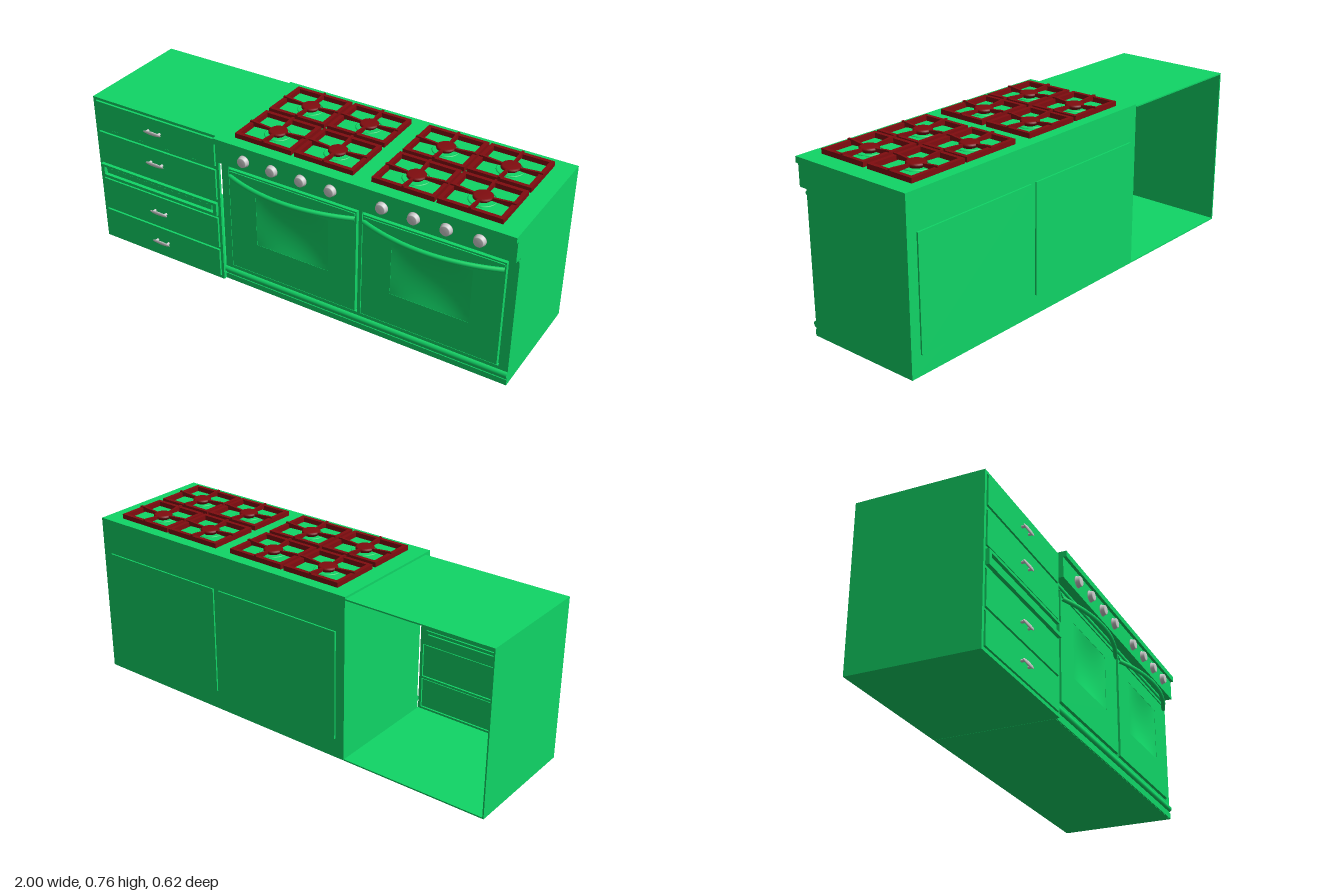
import * as THREE from 'three';

const green = new THREE.MeshStandardMaterial({ color: 0x10d566, side: THREE.DoubleSide });
const red = new THREE.MeshStandardMaterial({ color: 0x800c0f });
const grey = new THREE.MeshStandardMaterial({ color: 0xcccccc });

function add(parent, name, geometry, material = green) {
  const mesh = new THREE.Mesh(geometry, material);
  mesh.name = name;
  parent.add(mesh);
  return mesh;
}

// Box given by its limits on each axis
function block(parent, name, x0, x1, y0, y1, z0, z1, material = green) {
  const mesh = add(parent, name, new THREE.BoxGeometry(x1 - x0, y1 - y0, z1 - z0), material);
  mesh.position.set((x0 + x1) / 2, (y0 + y1) / 2, (z0 + z1) / 2);
  return mesh;
}

// Flat panel with rectangular holes, each given as [x0, x1, y0, y1]
function panel(parent, name, outer, holes, z0, z1) {
  const corners = ([a, b, c, d]) => [[a, c], [b, c], [b, d], [a, d]].map(p => new THREE.Vector2(...p));
  const shape = new THREE.Shape(corners(outer));
  holes.forEach(h => shape.holes.push(new THREE.Path(corners(h).reverse())));
  const geometry = new THREE.ExtrudeGeometry(shape, { depth: z1 - z0, bevelEnabled: false });
  add(parent, name, geometry).position.z = z0;
}

// Horizontal rounded moulding along x
function moulding(parent, name, x0, x1, y, z, r) {
  const mesh = add(parent, name, new THREE.CylinderGeometry(r, r, x1 - x0, 20));
  mesh.rotation.z = Math.PI / 2;
  mesh.position.set((x0 + x1) / 2, y, z);
}

function ovenDoor(x0, x1) {
  const door = new THREE.Group();
  door.name = 'ovenDoor';
  const cx = (x0 + x1) / 2, w = 0.175, y0 = 0.24, y1 = 0.49;
  panel(door, 'doorPanel', [x0 + 0.007, x1 - 0.007, 0.088, 0.575], [[cx - w, cx + w, y0, y1]], 0.216, 0.236);
  // Window dished gently inwards
  const glass = new THREE.PlaneGeometry(2 * w, y1 - y0, 16, 16);
  const p = glass.attributes.position;
  for (let i = 0; i < p.count; i++) {
    const u = p.getX(i) / w, v = 2 * p.getY(i) / (y1 - y0);
    p.setZ(i, -0.017 * (1 - u * u) * (1 - v * v));
  }
  glass.computeVertexNormals();
  add(door, 'window', glass).position.set(cx, (y0 + y1) / 2, 0.235);
  // Bowed handle
  const half = (x1 - x0) / 2 - 0.012, points = [];
  for (let i = 0; i <= 12; i++) {
    const t = i / 6 - 1;
    points.push(new THREE.Vector3(cx + t * half, 0.543, 0.238 + 0.06 * (1 - t * t)));
  }
  add(door, 'doorHandle', new THREE.TubeGeometry(new THREE.CatmullRomCurve3(points), 32, 0.01, 12));
  block(door, 'handleRail', x0 + 0.012, x1 - 0.012, 0.556, 0.568, 0.23, 0.241);
  return door;
}

function burner(x, z) {
  const group = new THREE.Group();
  group.name = 'burner';
  const w = 0.135, d = 0.114, t = 0.017, low = 0, high = 0.021;
  for (const s of [-1, 1]) {
    block(group, 'grateSide', s * (w - t / 2) - t / 2, s * (w - t / 2) + t / 2, low, high, -d, d, red);
    block(group, 'grateEnd', -w + t, w - t, low, high, s * (d - t / 2) - t / 2, s * (d - t / 2) + t / 2, red);
  }
  // Four fingers, sloping down from the frame to the burner
  for (let i = 0; i < 4; i++) {
    const reach = i % 2 ? d : w;
    const shape = new THREE.Shape([[0.02, 0.009], [reach, 0.004], [reach, 0.027], [reach - 0.02, 0.027], [0.02, 0.018]]
      .map(q => new THREE.Vector2(...q)));
    const geometry = new THREE.ExtrudeGeometry(shape, { depth: 0.01, bevelEnabled: false });
    geometry.translate(0, 0, -0.005);
    add(group, 'grateFinger', geometry, red).rotation.y = i * Math.PI / 2;
  }
  const profile = [[0, 0], [0.028, 0], [0.028, 0.01], [0.04, 0.011], [0.04, 0.018], [0.034, 0.022], [0, 0.022]];
  add(group, 'burnerCap', new THREE.LatheGeometry(profile.map(q => new THREE.Vector2(...q)), 24), red);
  const ring = add(group, 'burnerRing', new THREE.TorusGeometry(0.054, 0.004, 8, 32));
  ring.rotation.x = Math.PI / 2;
  group.position.set(x, 0.73, z);
  return group;
}

function drawerPull(x, y) {
  const pull = new THREE.Group();
  pull.name = 'drawerPull';
  for (const s of [-1, 1]) {
    const post = add(pull, 'pullPost', new THREE.CylinderGeometry(0.006, 0.006, 0.02, 12), grey);
    post.rotation.x = Math.PI / 2;
    post.position.set(s * 0.03, 0, 0.008);
  }
  const grip = add(pull, 'pullGrip', new THREE.SphereGeometry(1, 20, 12), grey);
  grip.scale.set(0.048, 0.009, 0.004);
  grip.position.z = 0.017;
  pull.position.set(x, y, 0.251);
  return pull;
}

function createCabinet() {
  const cabinet = new THREE.Group();
  cabinet.name = 'drawerCabinet';
  const x0 = -1, x1 = -0.342, t = 0.006;
  // Hollow shell, open at the back
  block(cabinet, 'cabinetSide', x0, x0 + t, 0, 0.722, -0.3, 0.247);
  block(cabinet, 'cabinetTop', x0 + t, x1, 0.722 - t, 0.722, -0.3, 0.247);
  block(cabinet, 'cabinetBottom', x0 + t, x1, 0, t, -0.3, 0.247);
  const left = -0.985, right = -0.355;
  const rows = [[0.015, 0.155], [0.165, 0.32], [0.41, 0.56], [0.575, 0.71]];
  const openings = rows.map(([a, b]) => [left, right, a, b]);
  panel(cabinet, 'cabinetFrontFrame', [x0 + t, x1, t, 0.722 - t],
    [...openings, [left + 0.02, right - 0.02, 0.345, 0.385]], 0.235, 0.247);
  rows.forEach(([a, b], i) => {
    block(cabinet, 'drawerFront', left + 0.004, right - 0.004, a + 0.004, b - 0.004, 0.237, 0.252);
    cabinet.add(drawerPull(-0.67, [0.083, 0.24, 0.49, 0.645][i]));
  });
  // Framed slot for the pull-out board
  panel(cabinet, 'boardFrame', [left, right, 0.332, 0.396], [[left + 0.018, right - 0.018, 0.346, 0.384]], 0.247, 0.263);
  block(cabinet, 'pullOutBoard', left + 0.03, right - 0.03, 0.353, 0.377, 0.22, 0.255);
  block(cabinet, 'slotBack', left + 0.018, right - 0.018, 0.34, 0.39, 0.228, 0.235);
  return cabinet;
}

function createRange() {
  const range = new THREE.Group();
  range.name = 'cookingRange';
  const x0 = -0.34, x1 = 1;
  const doors = [[-0.305, 0.32], [0.335, 0.96]];
  block(range, 'rangeBody', x0, x1, 0, 0.612, -0.3, 0.212);
  panel(range, 'frontFrame', [x0, x1, 0, 0.612], doors.map(([a, b]) => [a, b, 0.08, 0.582]), 0.212, 0.229);
  block(range, 'controlPanel', x0, x1, 0.612, 0.704, -0.3, 0.267);
  block(range, 'cooktop', x0, x1, 0.704, 0.73, -0.3, 0.281);
  moulding(range, 'lowerMoulding', x0, x1, 0.05, 0.226, 0.015);
  moulding(range, 'upperMoulding', x0, x1, 0.596, 0.226, 0.01);
  block(range, 'plinthStrip', x0, x1, 0.001, 0.027, 0.229, 0.233);
  for (const [a, b] of doors) {
    range.add(ovenDoor(a, b));
    block(range, 'backPanel', a + 0.007, b - 0.007, 0.088, 0.572, -0.307, -0.3);
  }
  // Control knobs
  const profile = [[0, 0.021], [0.019, 0.021], [0.022, 0.018], [0.023, 0.006], [0.026, 0.004], [0.026, 0], [0, 0]];
  const knob = new THREE.LatheGeometry(profile.map(q => new THREE.Vector2(...q)).reverse(), 24);
  for (const x of [-0.197, -0.06, 0.077, 0.214, 0.443, 0.58, 0.717, 0.854]) {
    const mesh = add(range, 'controlKnob', knob, grey);
    mesh.rotation.x = Math.PI / 2;
    mesh.position.set(x, 0.66, 0.267);
  }
  for (const x of [-0.131, 0.153, 0.505, 0.785])
    for (const z of [-0.136, 0.113]) range.add(burner(x, z));
  return range;
}

export function createModel() {
  const model = new THREE.Group();
  model.name = 'kitchenRangeWithDrawers';
  model.add(createCabinet(), createRange());
  return model;
}
